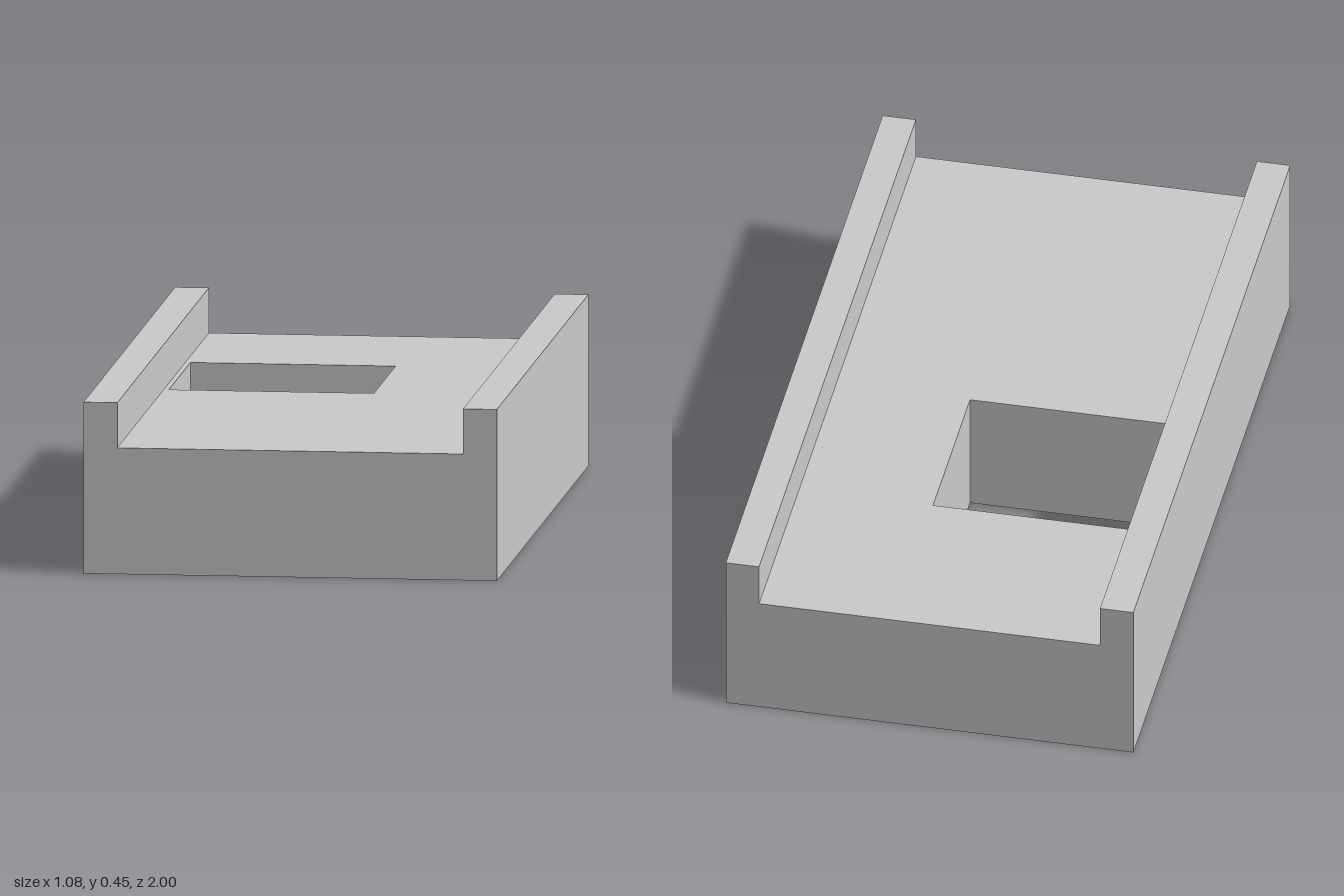
import * as THREE from 'three';

const HALF_WIDTH = 0.538, LENGTH = 2, DECK = 0.33, HEIGHT = 0.448;
const RAIL_INNER = 0.45;

// Rectangular outline from two opposite corners
function rectangle(path, x0, y0, x1, y1) {
  path.moveTo(x0, y0);
  path.lineTo(x1, y0);
  path.lineTo(x1, y1);
  path.lineTo(x0, y1);
  path.closePath();
  return path;
}

export function createModel() {
  const model = new THREE.Group();
  model.name = 'railedBlock';
  const material = new THREE.MeshStandardMaterial({ color: 0xcccccc, flatShading: true });

  // Thick slab with a rectangular through-opening, drawn in plan (shape y = -z)
  const plan = rectangle(new THREE.Shape(), -HALF_WIDTH, -LENGTH / 2, HALF_WIDTH, LENGTH / 2);
  plan.holes.push(rectangle(new THREE.Path(), -0.437, 0.015, 0.097, 0.487));
  const slabGeometry = new THREE.ExtrudeGeometry(plan, { depth: DECK, bevelEnabled: false });
  slabGeometry.rotateX(-Math.PI / 2);
  const slab = new THREE.Mesh(slabGeometry, material);
  slab.name = 'slab';
  model.add(slab);

  // Raised rails along both long edges
  const railWidth = HALF_WIDTH - RAIL_INNER;
  for (const side of [1, -1]) {
    const rail = new THREE.Mesh(new THREE.BoxGeometry(railWidth, HEIGHT - DECK, LENGTH), material);
    rail.position.set(side * (RAIL_INNER + railWidth / 2), (HEIGHT + DECK) / 2, 0);
    rail.name = side > 0 ? 'leftRail' : 'rightRail';
    model.add(rail);
  }

  return model;
}
